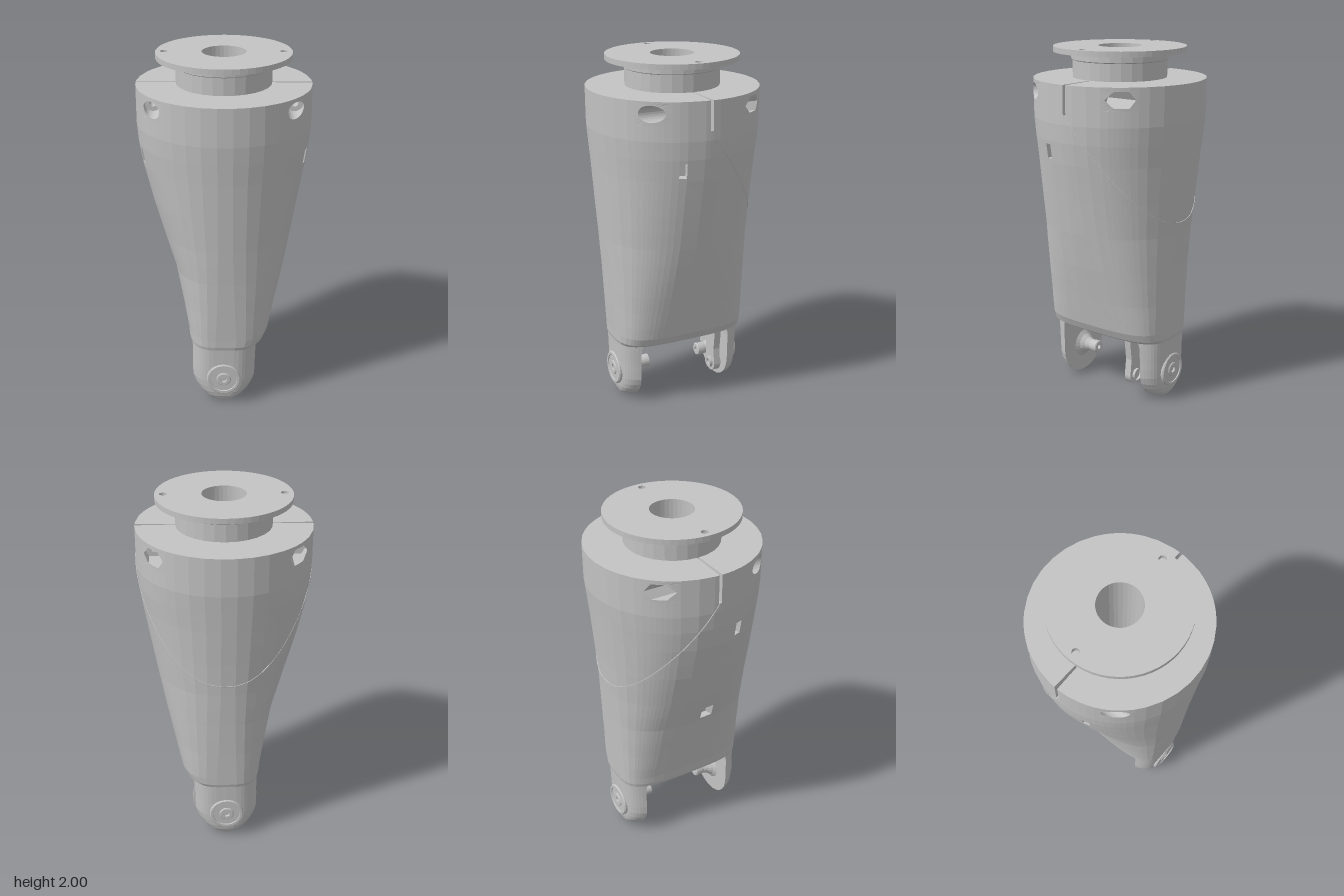
import * as THREE from 'three';

const PI = Math.PI;

// body stations: y, reach to -x, +x, +z, -z, roundness exponent
const STATIONS = [
  [0.365, 0.2, 0.207, 0.383, 0.383, 3.6], [0.385, 0.204, 0.24, 0.388, 0.388, 3.6],
  [0.43, 0.208, 0.262, 0.39, 0.39, 3.5], [0.6, 0.24, 0.30, 0.402, 0.398, 2.9],
  [0.8, 0.28, 0.345, 0.415, 0.408, 2.5], [1.0, 0.345, 0.385, 0.43, 0.42, 2.2],
  [1.2, 0.403, 0.42, 0.445, 0.436, 2.1], [1.4, 0.453, 0.455, 0.46, 0.455, 2],
  [1.52, 0.472, 0.472, 0.47, 0.467, 2], [1.62, 0.48, 0.48, 0.478, 0.478, 2],
  [1.83, 0.48, 0.48, 0.48, 0.48, 2],
];

function station(y) {
  let i = 0;
  while (i < STATIONS.length - 2 && y > STATIONS[i + 1][0]) i++;
  const a = STATIONS[i], b = STATIONS[i + 1], t = (y - a[0]) / (b[0] - a[0]);
  return a.map((v, k) => v + (b[k] - v) * t);
}

// point on the body at an angle (from +x towards +z) and height
function surface(angle, y, inset = 0) {
  const [, l, r, f, b, n] = station(y);
  const c = Math.cos(angle), s = Math.sin(angle), k = 1 - inset;
  return [Math.sign(c) * Math.abs(c) ** (2 / n) * (c < 0 ? l : r) * k, y,
    Math.sign(s) * Math.abs(s) ** (2 / n) * (s < 0 ? b : f) * k];
}

// collects quads into a flat-faceted geometry
function facets(build) {
  const out = [];
  build((p, q, r, s) => out.push(...p, ...q, ...r, ...p, ...r, ...s));
  const g = new THREE.BufferGeometry();
  g.setAttribute('position', new THREE.Float32BufferAttribute(out, 3));
  g.computeVertexNormals();
  return g;
}

// openings in the body: angle range, height range, kind
const openings = [];
for (const m of [0, 1]) {
  const flip = (a0, a1) => (m ? [PI - a1, PI - a0] : [a0, a1]);
  openings.push({ a: flip(0.44, 0.86), y: [1.705, 1.82], kind: 'bore', side: 1, cx: m ? -0.375 : 0.375 });
  const back = m ? [PI + 0.44, PI + 0.86] : [2 * PI - 0.86, 2 * PI - 0.44];
  openings.push({ a: back, y: [1.705, 1.82], kind: 'bore', side: -1, cx: m ? -0.375 : 0.375 });
  openings.push({ a: flip(0.27, 0.36), y: [1.42, 1.5], kind: 'slot', depth: 0.12 });
  openings.push({ a: [m * PI - 0.018, m * PI + 0.018], y: [1.67, 1.83], kind: 'notch', depth: 0.5 });
}
openings.push({ a: [PI - 0.16, PI - 0.018], y: [0.82, 0.9], kind: 'slot', depth: 0.15 });

function bodyGeometry() {
  const uniq = (list) => list.sort((p, q) => p - q).filter((v, i, l) => !i || v - l[i - 1] > 1e-6);
  // bore windows get the same angle steps as their border points
  const edges = openings.flatMap(({ a: [a0, a1], kind }) => (kind !== 'bore' ? [a0, a1]
    : [-3, -2, -1, 0, 1, 2, 3].map((k) => (a0 + a1) / 2 + (a1 - a0) / 2 * Math.tan(k * PI / 12))));
  const base = Array.from({ length: 36 }, (_, i) => (i + 0.5) * PI / 18 - 0.018)
    .filter((v) => !edges.some((e) => Math.abs(e - v) < 0.05));
  const angles = uniq([...base, ...edges].filter((v) => v < 2 * PI - 0.019));
  angles.push(angles[0] + 2 * PI);
  const rows = uniq([...STATIONS.map((s) => s[0]), 0.5, 0.7, 0.9, 1.1, 1.3, ...openings.flatMap((o) => o.y)]);
  const inside = (a, y) => openings.some((o) => a > o.a[0] && a < o.a[1] && y > o.y[0] && y < o.y[1]);

  return facets((quad) => {
    // outer skin with the openings left out
    for (let i = 0; i < angles.length - 1; i++) {
      const a = angles[i], b = angles[i + 1];
      for (let j = 0; j < rows.length - 1; j++) {
        const lo = rows[j], hi = rows[j + 1];
        if (!inside((a + b) / 2, (lo + hi) / 2)) {
          quad(surface(a, lo), surface(a, hi), surface(b, hi), surface(b, lo));
        }
      }
      // shoulder and underside
      if (!inside((a + b) / 2, 1.829)) {
        quad(surface(a, 1.83), surface(a, 1.83, 0.5), surface(b, 1.83, 0.5), surface(b, 1.83));
      }
      quad(surface(a, 0.365), surface(b, 0.365), [0, 0.365, 0], [0, 0.365, 0]);
    }
    for (const o of openings) {
      const [a0, a1] = o.a, [y0, y1] = o.y;
      if (o.kind === 'bore') {
        // round counterbore at the front, hexagonal pocket at the back
        const n = 24, cy = 1.765, am = (a0 + a1) / 2;
        const ring = (r, z) => Array.from({ length: n + 1 }, (_, i) => {
          const t = i / n * 2 * PI;
          const hex = o.side < 0 && r > 0.03 ? Math.cos(PI / 6) / Math.cos((t % (PI / 3)) - PI / 6) : 1;
          const x = o.cx + r * hex * Math.cos(t);
          return [x, cy + r * hex * Math.sin(t), o.side * (z ?? Math.sqrt(0.2304 - x * x))];
        });
        const border = Array.from({ length: n + 1 }, (_, i) => {
          const t = i / n * 2 * PI, c = Math.cos(t), s = Math.sin(t), m = Math.max(Math.abs(c), Math.abs(s));
          const dir = -Math.sign(Math.sin(am));
          return surface(am + dir * (a1 - a0) / 2 * c / m, (y0 + y1) / 2 + (y1 - y0) / 2 * s / m);
        });
        const rad = o.side > 0 ? 0.045 : 0.05;
        const loops = [border, ring(rad), ring(rad, 0.17), ring(0.02, 0.17), ring(0.02, 0)];
        for (let k = 0; k < loops.length - 1; k++) for (let i = 0; i < n; i++) {
          const [p, q] = [loops[k], loops[k + 1]];
          if (o.side > 0) quad(p[i], p[i + 1], q[i + 1], q[i]);
          else quad(p[i + 1], p[i], q[i], q[i + 1]);
        }
      } else {
        // rectangular recess; the notch stays open at the top
        const c = [[a0, y0], [a1, y0], [a1, y1], [a0, y1]];
        const out = c.map(([a, y]) => surface(a, y)), inn = c.map(([a, y]) => surface(a, y, o.depth));
        for (let i = 0; i < 4; i++) {
          if (o.kind === 'notch' && i === 2) continue;
          const k = (i + 1) % 4;
          quad(out[i], inn[i], inn[k], out[k]);
        }
        quad(inn[0], inn[3], inn[2], inn[1]);
      }
    }
  });
}

// fork lug: flat inner face, round tip, outer face flowing into the body (side = +1 front, -1 back)
function lugGeometry(side) {
  const rows = [0.001, 0.008, 0.022, 0.045, 0.075, 0.11, 0.15, 0.2, 0.24, 0.28, 0.32, 0.345, 0.365, 0.385, 0.42];
  const n = 18, e = 3.6;
  const loops = rows.map((y) => {
    const w = y < 0.18 ? Math.sqrt(0.0324 - (0.18 - y) ** 2) : 0.18;
    const zo = y < 0.1 ? 0.325 + 0.048 * Math.sqrt(1 - (1 - y / 0.1) ** 2) : 0.373 + (y - 0.1) * 0.035;
    const zi = y < 0.32 ? 0.28 : 0.2 + 0.08 * Math.sqrt(Math.max(0, 1 - ((y - 0.32) / 0.1) ** 2));
    const start = Math.asin((zi / zo) ** (e / 2));
    const [, l, r] = station(Math.max(y, 0.365));
    const blend = THREE.MathUtils.smoothstep(y, 0.2, 0.365);
    const half = (body) => THREE.MathUtils.lerp(w / Math.cos(start) ** (2 / e), body * 0.995, blend);
    return Array.from({ length: n + 1 }, (_, i) => {
      const t = PI - start - i / n * (PI - 2 * start), c = Math.cos(t);
      return [Math.sign(c) * Math.abs(c) ** (2 / e) * half(c < 0 ? l : r), y, side * zo * Math.sin(t) ** (2 / e)];
    });
  });
  return facets((quad) => {
    const face = (p, q, r, s) => (side > 0 ? quad(p, q, r, s) : quad(s, r, q, p));
    for (let j = 0; j < rows.length - 1; j++) {
      const a = loops[j], b = loops[j + 1];
      for (let i = 0; i < n; i++) face(a[i], a[i + 1], b[i + 1], b[i]);
      face(a[n], a[0], b[0], b[n]);
    }
    for (let i = 1; i < n; i++) face(loops[0][0], loops[0][i + 1], loops[0][i], loops[0][0]);
  });
}

// lathe profile of [radius, distance along axis]
const lathe = (pts, n) => new THREE.LatheGeometry(pts.map(([r, h]) => new THREE.Vector2(r, h)), n);

export function createModel() {
  const model = new THREE.Group();
  const grey = new THREE.MeshStandardMaterial({ color: 0xc3c3c3, side: THREE.DoubleSide });
  grey.name = 'plain grey';
  grey.flatShading = true;
  const add = (name, geometry, parent = model) => {
    const mesh = new THREE.Mesh(geometry, grey);
    mesh.name = name;
    parent.add(mesh);
    return mesh;
  };

  add('body', bodyGeometry());

  // neck with central bore, and a floor bar deep inside
  add('neck', lathe([[0.262, 1.82], [0.262, 1.925], [0.27, 1.93], [0.27, 1.975]], 28));
  add('bore', lathe([[0, 1.3], [0.12, 1.3], [0.12, 1.99]], 32));
  add('boreBar', new THREE.BoxGeometry(0.23, 0.03, 0.02)).position.y = 1.31;

  // top flange with screw holes
  const disc = new THREE.Shape().absarc(0, 0, 0.369, 0, 2 * PI);
  for (const [x, r] of [[0, 0.12], [0.322, 0.021], [-0.322, 0.021]]) {
    disc.holes.push(new THREE.Path().absarc(x, 0, r, 0, 2 * PI, true));
  }
  const flange = new THREE.ExtrudeGeometry(disc, { depth: 0.03, bevelEnabled: false, curveSegments: 28 });
  add('topFlange', flange.rotateX(-PI / 2).translate(0, 1.97, 0));

  // slanted seam of the rear cover
  const seam = [];
  for (let i = -16; i <= 16; i++) {
    const y = 1.062 + 0.608 * (i / 16) ** 2, [, , , , b, n] = station(y);
    const s = Math.asin(Math.min(1, ((1.67 - y) / 1.43 / b) ** (n / 2)));
    seam.push(new THREE.Vector3(...surface(i < 0 ? PI + s : -s, y)));
  }
  add('coverSeam', new THREE.TubeGeometry(new THREE.CatmullRomCurve3(seam), 80, 0.003, 4));

  // fork lugs with their pivots
  for (const side of [1, -1]) {
    const fork = new THREE.Group();
    fork.name = side > 0 ? 'frontFork' : 'backFork';
    model.add(fork);
    add('lug', lugGeometry(side), fork);
    const pivot = new THREE.Group();
    pivot.name = 'pivot';
    pivot.position.y = 0.172;
    pivot.rotation.x = side * PI / 2;
    fork.add(pivot);
    add('outerCap', lathe([[0.098, 0.33], [0.098, 0.379], [0.092, 0.386], [0.078, 0.386], [0.076, 0.38],
      [0.042, 0.38], [0.036, 0.386], [0.018, 0.386], [0.014, 0.37], [0.014, 0.16]], 28), pivot);
    add('innerHub', lathe([[0.085, 0.282], [0.06, 0.265], [0.042, 0.24], [0.034, 0.215], [0.036, 0.2],
      [0.038, 0.165], [0.033, 0.16], [0.014, 0.16]], 20), pivot);
  }

  // hanging arm beside the back lug
  const arm = new THREE.Shape();
  arm.moveTo(0.09, 0.42).lineTo(0.088, 0.16);
  arm.absarc(0.142, 0.152, 0.054, PI, 2 * PI, false);
  arm.lineTo(0.185, 0.25).lineTo(0.205, 0.42);
  const armGeometry = new THREE.ExtrudeGeometry(arm, { depth: 0.04, bevelEnabled: false, curveSegments: 14 });
  add('hangingArm', armGeometry.translate(0, 0, -0.225));
  const knob = add('armKnob', lathe([[0.034, 0], [0.034, 0.07], [0.018, 0.07], [0.018, 0.05], [0, 0.05]], 18));
  knob.rotation.x = PI / 2;
  knob.position.set(0.142, 0.152, -0.24);

  return model;
}
